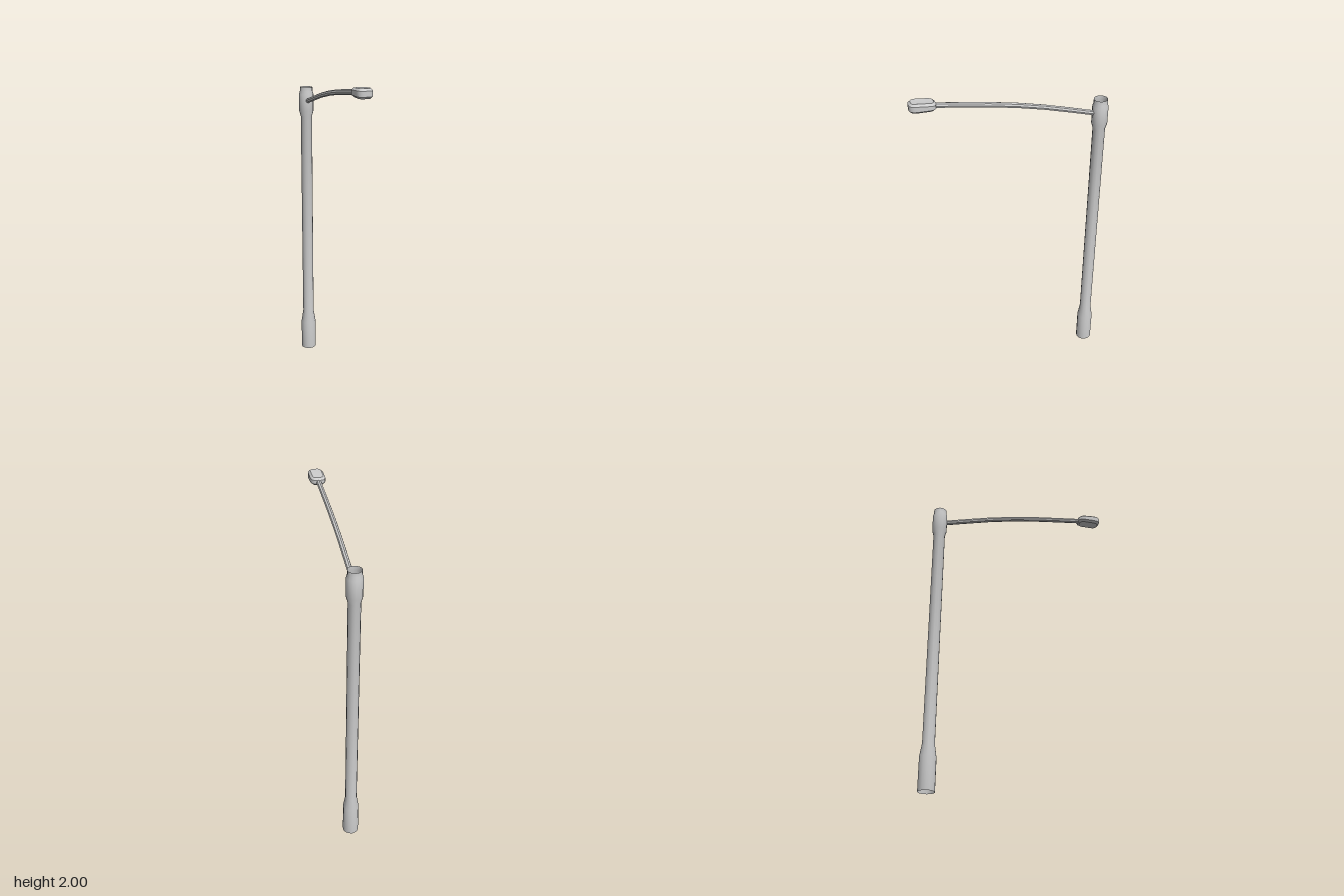
import * as THREE from 'three';
import { toCreasedNormals } from 'three/addons/utils/BufferGeometryUtils.js';

const POLE_Z = -0.53;

export function createModel() {
  const group = new THREE.Group();
  const material = new THREE.MeshStandardMaterial({ color: 0xcccccc, side: THREE.DoubleSide });
  const add = (name, geometry) => {
    const mesh = new THREE.Mesh(toCreasedNormals(geometry, 0.6), material);
    mesh.name = name;
    group.add(mesh);
    return mesh;
  };

  // Hollow pole: wide base, slim shaft, collar at the top, open at both ends
  const profile = [
    [0.05, 0], [0.05, 0.2], [0.037, 0.28], [0.037, 1.68],
    [0.047, 1.715], [0.047, 1.825], [0.041, 1.845], [0.041, 1.87],
  ].map(([r, y]) => new THREE.Vector2(r, y));
  add('pole', new THREE.LatheGeometry(profile, 14)).position.z = POLE_Z;

  // Gently bowed arm
  const path = new THREE.CatmullRomCurve3([
    [1.783, -0.5], [1.873, -0.15], [1.918, 0.09], [1.966, 0.45],
  ].map(([y, z]) => new THREE.Vector3(0, y, z)));
  add('arm', new THREE.TubeGeometry(path, 6, 0.0155, 8, false));

  // Lamp head: rounded outline with bevelled top and bottom edges
  const bevel = 0.013, w = 0.046 - bevel, l = 0.075 - bevel, cx = 0.021, cl = 0.03;
  const outline = new THREE.Shape();
  outline.moveTo(w, -l + cl);
  outline.lineTo(w, l - cl);
  outline.quadraticCurveTo(w, l, w - cx, l);
  outline.lineTo(-w + cx, l);
  outline.quadraticCurveTo(-w, l, -w, l - cl);
  outline.lineTo(-w, -l + cl);
  outline.quadraticCurveTo(-w, -l, -w + cx, -l);
  outline.lineTo(w - cx, -l);
  outline.quadraticCurveTo(w, -l, w, -l + cl);
  const head = new THREE.ExtrudeGeometry(outline, {
    depth: 0.031, bevelEnabled: true, bevelThickness: 0.012,
    bevelSize: bevel, bevelSegments: 1, curveSegments: 4,
  });
  head.rotateX(-Math.PI / 2);
  head.translate(0, 1.957, 0.505);

  // Slope the upper side down towards the arm
  const p = head.attributes.position;
  for (let i = 0; i < p.count; i++) {
    const drop = 0.01 * THREE.MathUtils.clamp((0.52 - p.getZ(i)) / 0.09, 0, 1);
    if (p.getY(i) > 1.97) p.setY(i, p.getY(i) - drop);
  }
  add('lampHead', head);
  return group;
}
